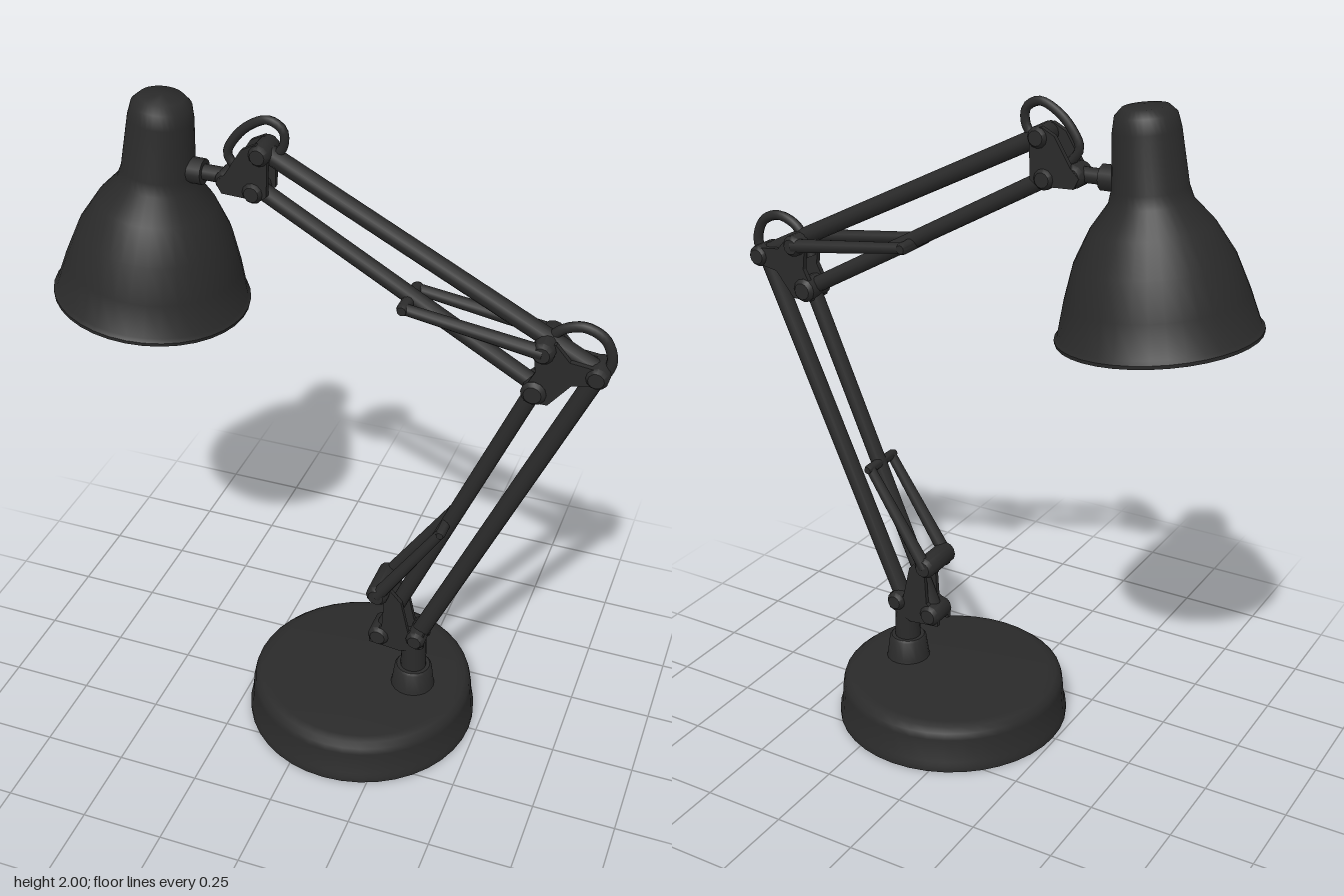
import * as THREE from 'three';
import { toCreasedNormals } from 'three/addons/utils/BufferGeometryUtils.js';

const black = new THREE.MeshStandardMaterial({ color: 0x2a2a2a });
black.name = 'matt black';

export function createModel() {
  const group = new THREE.Group();

  const add = (name, geometry, parent = group) => {
    const mesh = new THREE.Mesh(geometry, black);
    mesh.name = name;
    parent.add(mesh);
    return mesh;
  };

  const lathe = (name, profile, sides, parent = group) => add(name, toCreasedNormals(
    new THREE.LatheGeometry(profile.map(([r, y]) => new THREE.Vector2(r, y)), sides), 0.7), parent);

  // Straight rod between two points in the arm plane, shifted to depth z
  const rod = (name, a, b, r, z = 0, r2 = r) => {
    const d = new THREE.Vector2(b[0] - a[0], b[1] - a[1]);
    const mesh = add(name, new THREE.CylinderGeometry(r2, r, d.length(), 12));
    mesh.position.set((a[0] + b[0]) / 2, (a[1] + b[1]) / 2, z);
    mesh.rotation.z = Math.atan2(d.y, d.x) - Math.PI / 2;
    return mesh;
  };

  // Pivot bolt lying along z, with chamfered ends
  const bolt = (name, [x, y], r, half) => {
    const mesh = lathe(name, [[0, -half], [r * 0.7, -half], [r, -half + 0.012],
      [r, half - 0.012], [r * 0.7, half], [0, half]], 12);
    mesh.position.set(x, y, 0);
    mesh.rotation.x = Math.PI / 2;
  };

  // Matching pair of flat side plates
  const plates = (name, outline, z, thick) => {
    const shape = new THREE.Shape(outline.map(([x, y]) => new THREE.Vector2(x, y)));
    for (const s of [-1, 1]) {
      const mesh = add(name, new THREE.ExtrudeGeometry(shape, { depth: thick, bevelEnabled: false }));
      mesh.position.z = s * z - thick / 2;
    }
  };

  // Bent cable in the arm plane
  const cable = (name, points, r) => add(name, new THREE.TubeGeometry(
    new THREE.CatmullRomCurve3(points.map(([x, y]) => new THREE.Vector3(x, y, 0))), 28, r, 8));

  // Hollow weighted base and post
  const base = lathe('base', [[0, 0.105], [0.315, 0.1], [0.335, 0.08], [0.342, 0.0], [0.358, 0],
    [0.358, 0.02], [0.352, 0.03], [0.346, 0.105], [0.341, 0.125], [0.325, 0.138], [0.3, 0.141], [0, 0.143]], 40);
  base.position.x = 0.118;
  const post = lathe('post', [[0.07, 0.135], [0.066, 0.15], [0.058, 0.21], [0.052, 0.217],
    [0.04, 0.217], [0.038, 0.34], [0, 0.345]], 20);
  post.position.x = 0.285;

  // Pivot positions
  const footRear = [0.3, 0.35], footFront = [0.18, 0.33], footSpring = [0.18, 0.51];
  const elbowRear = [0.765, 1.405], elbowFront = [0.6, 1.325], elbowSpring = [0.62, 1.465];
  const headTop = [-0.18, 1.885], headLow = [-0.2, 1.775], headKnuckle = [-0.28, 1.79];
  const lowerHook = [0.37, 0.8], upperHook = [0.235, 1.52];

  // Parallel arms
  rod('lowerArmRear', footRear, elbowRear, 0.027);
  rod('lowerArmFront', footFront, elbowFront, 0.024);
  rod('upperArmTop', elbowRear, headTop, 0.026);
  rod('upperArmBottom', elbowFront, headLow, 0.024);

  // Springs on both sides of each arm
  for (const z of [-0.058, 0.058]) {
    rod('lowerSpring', footSpring, lowerHook, 0.021, z, 0.015);
    rod('upperSpring', elbowSpring, upperHook, 0.021, z, 0.016);
  }
  bolt('lowerSpringPin', lowerHook, 0.015, 0.076);
  bolt('upperSpringPin', upperHook, 0.018, 0.076);

  // Foot bracket
  plates('footBracket', [[0.16, 0.535], [0.2, 0.535], [0.25, 0.48], [0.275, 0.37], [0.325, 0.37],
    [0.325, 0.32], [0.25, 0.29], [0.15, 0.3], [0.15, 0.34], [0.19, 0.37], [0.195, 0.46], [0.15, 0.49]], 0.032, 0.014);
  bolt('footRearBolt', footRear, 0.03, 0.055);
  bolt('footFrontBolt', footFront, 0.034, 0.05);
  bolt('footSpringBolt', footSpring, 0.034, 0.075);

  // Elbow bracket
  plates('elbowBracket', [[0.59, 1.48], [0.65, 1.485], [0.69, 1.44], [0.78, 1.43], [0.785, 1.385],
    [0.7, 1.37], [0.64, 1.295], [0.575, 1.295], [0.575, 1.34], [0.6, 1.39]], 0.034, 0.016);
  bolt('elbowRearBolt', elbowRear, 0.032, 0.052);
  bolt('elbowFrontBolt', elbowFront, 0.036, 0.055);
  bolt('elbowSpringBolt', elbowSpring, 0.032, 0.075);
  cable('elbowCable', [[0.6, 1.42], [0.625, 1.48], [0.66, 1.515], [0.715, 1.53],
    [0.77, 1.505], [0.793, 1.45], [0.785, 1.41], [0.75, 1.36]], 0.015);

  // Head bracket and knuckle
  plates('headBracket', [[-0.23, 1.895], [-0.19, 1.915], [-0.155, 1.9], [-0.16, 1.77], [-0.18, 1.755],
    [-0.29, 1.76], [-0.305, 1.79], [-0.28, 1.815]], 0.033, 0.016);
  bolt('headTopBolt', headTop, 0.03, 0.052);
  bolt('headLowBolt', headLow, 0.03, 0.052);
  bolt('headKnuckleBolt', headKnuckle, 0.033, 0.04);
  rod('knuckleRod', [-0.42, 1.795], [-0.28, 1.793], 0.022);
  rod('knuckleCollar', [-0.4, 1.795], [-0.355, 1.794], 0.036);
  cable('headCable', [[-0.25, 1.81], [-0.285, 1.86], [-0.265, 1.905], [-0.22, 1.95], [-0.165, 1.973],
    [-0.125, 1.95], [-0.125, 1.905], [-0.16, 1.86]], 0.013);

  // Tilted shade with socket and bulb inside
  const head = new THREE.Group();
  head.name = 'lampHead';
  head.position.set(-0.535, 1.388, 0);
  head.rotation.z = -0.108;
  group.add(head);
  lathe('shade', [[0, 0.6], [0.078, 0.56], [0.09, 0.4], [0.1, 0.36], [0.155, 0.29], [0.2, 0.21], [0.235, 0.11],
    [0.262, 0.015], [0.27, 0], [0.28, 0], [0.281, 0.01], [0.272, 0.02], [0.248, 0.11], [0.215, 0.21], [0.165, 0.3],
    [0.112, 0.365], [0.102, 0.4], [0.09, 0.55], [0.082, 0.59], [0.062, 0.61], [0, 0.616]], 36, head);
  lathe('socket', [[0, 0.2], [0.05, 0.2], [0.05, 0.57], [0, 0.57]], 16, head);
  const bulb = add('bulb', new THREE.SphereGeometry(0.08, 20, 14), head);
  bulb.position.y = 0.15;

  return group;
}
